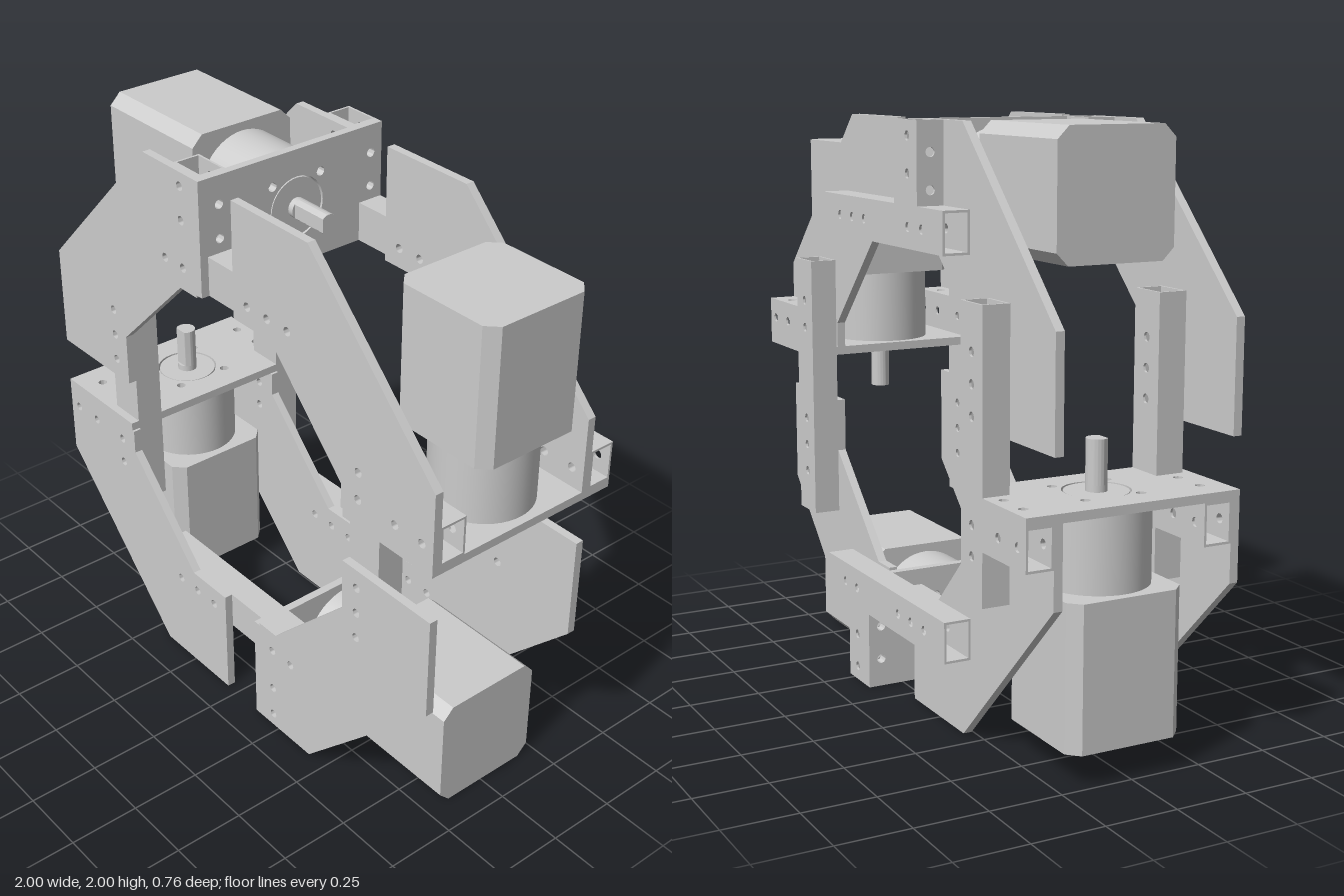
import * as THREE from 'three';
import { toCreasedNormals } from 'three/addons/utils/BufferGeometryUtils.js';

const material = new THREE.MeshStandardMaterial({ color: 0xcccccc });
const HOLE = 0.016; // bolt hole radius
const WALL = 0.008; // tube wall thickness

function polygon(points) {
  return new THREE.Shape(points.map(([x, y]) => new THREE.Vector2(x, y)));
}

function rectangle(x0, x1, y0, y1) {
  return polygon([[x0, y0], [x1, y0], [x1, y1], [x0, y1]]);
}

function drill(shape, centres, radius = HOLE) {
  for (const [x, y] of centres) {
    shape.holes.push(new THREE.Path().absarc(x, y, radius, 0, Math.PI * 2, true));
  }
  return shape;
}

function addMesh(parent, name, geometry) {
  const mesh = new THREE.Mesh(geometry, material);
  mesh.name = name;
  parent.add(mesh);
  return mesh;
}

// Shape in the x-y plane, thickened from z0 to z1
function slabZ(parent, name, shape, z0, z1, curveSegments = 10) {
  const g = new THREE.ExtrudeGeometry(shape, { depth: z1 - z0, bevelEnabled: false, curveSegments });
  g.translate(0, 0, z0);
  return addMesh(parent, name, toCreasedNormals(g, 0.7));
}

// Shape drawn in (-z, y), thickened from x0 to x1
function slabX(parent, name, shape, x0, x1, curveSegments = 10) {
  const g = new THREE.ExtrudeGeometry(shape, { depth: x1 - x0, bevelEnabled: false, curveSegments });
  g.rotateY(Math.PI / 2).translate(x0, 0, 0);
  return addMesh(parent, name, toCreasedNormals(g, 0.7));
}

function box(parent, name, x0, x1, y0, y1, z0, z1) {
  const g = new THREE.BoxGeometry(x1 - x0, y1 - y0, z1 - z0);
  g.translate((x0 + x1) / 2, (y0 + y1) / 2, (z0 + z1) / 2);
  return addMesh(parent, name, g);
}

// Hollow tube running along x, bolt holes through its z walls
function longTube(parent, z0, z1) {
  const tube = new THREE.Group();
  tube.name = 'longTube';
  const holes = [-0.32, -0.22, 0.12, 0.22, 0.32].map((x) => [x, 0.66]);
  for (const z of [z0, z1 - WALL]) {
    slabZ(tube, 'drilledWall', drill(rectangle(-0.47, 0.47, 0.59, 0.73), holes), z, z + WALL);
  }
  for (const y of [0.59, 0.73 - WALL]) {
    box(tube, 'plainWall', -0.47, 0.47, y, y + WALL, z0 + WALL, z1 - WALL);
  }
  parent.add(tube);
}

// Short hollow tube standing on the long one, drilled both ways
function shortTube(parent, z0, z1) {
  const tube = new THREE.Group();
  tube.name = 'shortTube';
  const x0 = -0.29, x1 = -0.15, u = -(z0 + z1) / 2;
  for (const z of [z0, z1 - WALL]) {
    slabZ(tube, 'drilledWall', drill(rectangle(x0, x1, 0.73, 1), [[-0.22, 0.83], [-0.22, 0.95]]), z, z + WALL);
  }
  for (const x of [x0, x1 - WALL]) {
    const wall = rectangle(-z1 + WALL, -z0 - WALL, 0.73, 1);
    slabX(tube, 'sideWall', drill(wall, [[u, 0.78], [u, 0.9]]), x, x + WALL);
  }
  parent.add(tube);
}

// Octagon corner plate with bolt holes
function cornerPlate(parent, name, z0, z1) {
  const shape = polygon([
    [0.05, 1], [0.05, 0.59], [0.24, 0.59], [0.58, 0.24],
    [0.58, 0.15], [1, 0.15], [1, 0.42], [0.42, 1],
  ]);
  drill(shape, [[0.12, 0.66], [0.22, 0.66], [0.32, 0.66], [0.66, 0.32], [0.66, 0.22], [0.83, 0.22], [0.95, 0.22]]);
  slabZ(parent, name, shape, z0, z1);
}

// Motor axis runs along x at y = AY, z = -AU
const AY = 0.795, AU = 0.015;

function motorMount(parent) {
  const plate = rectangle(-0.38, 0.38, 0.59, 1);
  // openings for the long tubes
  for (const [a, b] of [[-0.345, -0.255], [0.29, 0.373]]) {
    plate.holes.push(rectangle(a, b, 0.597, 0.725));
  }
  drill(plate, [[-0.3, 0.78], [-0.3, 0.9], [0.333, 0.78], [0.333, 0.9]]);
  const bolts = [];
  for (const a of [-0.1, 0.1]) for (const b of [-0.1, 0.1]) bolts.push([AU + a, AY + b]);
  drill(plate, bolts);
  drill(plate, [[AU, AY]], 0.11);
  slabX(parent, 'motorMount', plate, -0.15, -0.12, 16);
}

function motor(parent) {
  const group = new THREE.Group();
  group.name = 'motor';
  const cylinder = (name, r, x0, x1) => {
    const g = new THREE.CylinderGeometry(r, r, x1 - x0, 48);
    g.rotateZ(Math.PI / 2).translate((x0 + x1) / 2, AY, -AU);
    addMesh(group, name, g);
  };
  cylinder('gearbox', 0.175, -0.41, -0.15);
  cylinder('gearboxBoss', 0.104, -0.16, -0.122);
  cylinder('shaftBase', 0.035, -0.122, -0.1);
  // D-shaped shaft with its flat towards the front
  const flat = Math.acos(0.025 / 0.035);
  const d = new THREE.Shape().absarc(AU, AY, 0.035, -Math.PI + flat, Math.PI - flat, false);
  slabX(group, 'shaft', d, -0.1, 0.045, 24);
  // square housing with chamfered long edges
  const h = 0.205, c = 0.165;
  const outline = [[h, -c], [h, c], [c, h], [-c, h], [-h, c], [-h, -c], [-c, -h], [c, -h]];
  const housing = polygon(outline.map(([u, y]) => [u + AU, y + AY]));
  slabX(group, 'motorHousing', housing, -0.89, -0.41);
  parent.add(group);
}

// One quarter of the frame, centred on the ring's axis
function quarter() {
  const unit = new THREE.Group();
  unit.name = 'driveUnit';
  cornerPlate(unit, 'frontCornerPlate', 0.35, 0.38);
  cornerPlate(unit, 'backCornerPlate', -0.285, -0.255);
  for (const [z0, z1] of [[0.25, 0.35], [-0.38, -0.285]]) {
    longTube(unit, z0, z1);
    shortTube(unit, z0, z1);
  }
  motorMount(unit);
  motor(unit);
  return unit;
}

export function createModel() {
  const model = new THREE.Group();
  model.name = 'motorRingFrame';
  for (let i = 0; i < 4; i++) {
    const unit = quarter();
    unit.rotation.z = (i * Math.PI) / 2;
    unit.position.y = 1;
    model.add(unit);
  }
  return model;
}
